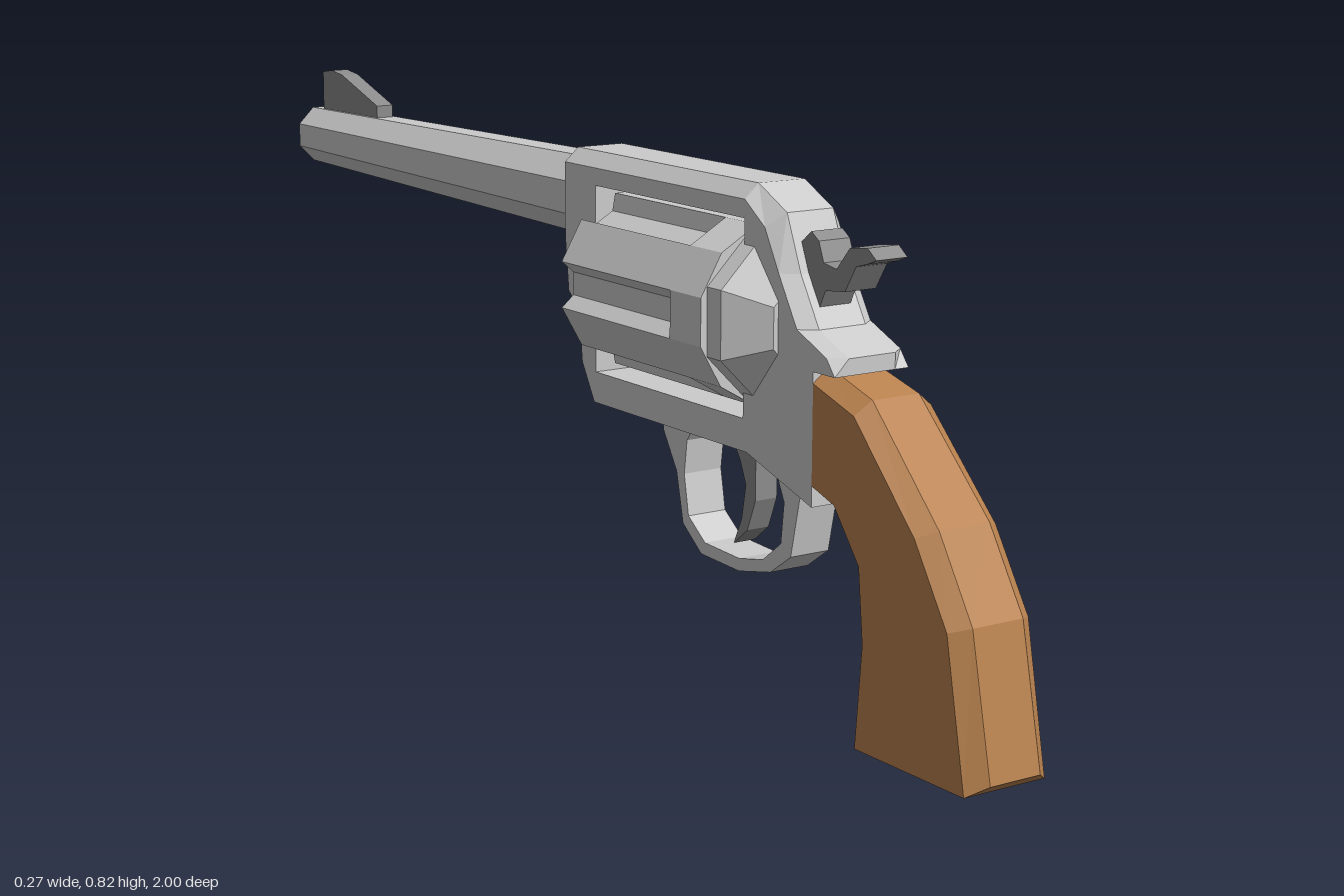
import * as THREE from 'three';

const steel = new THREE.MeshStandardMaterial({ color: 0xcccccc, flatShading: true });
const darkSteel = new THREE.MeshStandardMaterial({ color: 0x8c8c8c, flatShading: true });
const wood = new THREE.MeshStandardMaterial({ color: 0xb9824f, flatShading: true });

const AXIS_Y = 0.58;    // cylinder axis height
const BARREL_Y = 0.70;  // bore height

const toShape = (pts) => new THREE.Shape(pts.map(([a, b]) => new THREE.Vector2(a, b)));
const toPath = (pts) => new THREE.Path(pts.map(([a, b]) => new THREE.Vector2(a, b)));

// Extrudes a side profile of [z, y] points across x, centred on x = 0
function sidePlate(pts, halfWidth, holes = [], steps = 1) {
  const shape = toShape(pts);
  holes.forEach((h) => shape.holes.push(toPath(h)));
  const geo = new THREE.ExtrudeGeometry(shape, { depth: halfWidth * 2, steps, bevelEnabled: false });
  return geo.translate(0, 0, -halfWidth).rotateY(-Math.PI / 2);
}

// Faceted solid of revolution along z from [apothem, z] points, flats facing the axes
function turned(pts, sides, y) {
  const k = 1 / Math.cos(Math.PI / sides);
  const geo = new THREE.LatheGeometry(pts.map(([r, z]) => new THREE.Vector2(r * k, z)), sides, Math.PI / sides);
  return geo.rotateX(Math.PI / 2).translate(0, y, 0);
}

// Frame with a window for the cylinder; top and rear edges are chamfered
function frameGeometry() {
  const outline = [[0.45, 0.78], [0.52, 0.745], [0.555, 0.66], [0.60, 0.585], [0.67, 0.555], [0.67, 0.53],
    [0.62, 0.53], [0.62, 0.33], [0.46, 0.38], [0.045, 0.38], [0.01, 0.44], [0, 0.525], [-0.03, 0.55],
    [-0.04, 0.64], [-0.04, 0.78]];
  const windowHole = [[0.05, 0.43], [0.45, 0.43], [0.45, 0.73], [0.05, 0.73]];
  const geo = sidePlate(outline, 0.067, [windowHole], 3);
  const p = geo.attributes.position;
  for (let i = 0; i < p.count; i++) {
    const x = p.getX(i), y = p.getY(i), z = p.getZ(i);
    if (Math.abs(x) < 0.05) {
      p.setX(i, Math.sign(x) * 0.042);
    } else {
      if (y > 0.74) p.setY(i, y - 0.022);
      if (z > 0.5 && y > 0.54) p.setZ(i, z - 0.02);
    }
  }
  geo.computeVertexNormals();
  return geo;
}

// Fluted front of the cylinder with six open chambers
function flutedGeometry() {
  const pts = [];
  const polar = (deg, r) => [r * Math.cos(deg * Math.PI / 180), r * Math.sin(deg * Math.PI / 180)];
  for (let a = 0; a < 360; a += 60) {
    pts.push(polar(a - 15, 0.142), polar(a - 9, 0.117), polar(a + 9, 0.117), polar(a + 15, 0.142));
  }
  const shape = toShape(pts);
  for (let a = 30; a < 390; a += 60) {
    const [cx, cy] = polar(a, 0.09);
    const ring = [];
    for (let i = 0; i < 8; i++) {
      const [dx, dy] = polar(i * 45 + 22.5, 0.03);
      ring.push([cx + dx, cy + dy]);
    }
    shape.holes.push(toPath(ring));
  }
  return new THREE.ExtrudeGeometry(shape, { depth: 0.30, bevelEnabled: false }).translate(0, AXIS_Y, 0.06);
}

// Grip lofted through eight-sided sections, from butt to frame
function gripGeometry() {
  // back [z, y], front [z, y], half width, drop of the side edges
  const stations = [
    [[1, 0.017], [0.715, 0.017], 0.073, 0.017],
    [[0.955, 0.23], [0.73, 0.15], 0.073, 0],
    [[0.88, 0.35], [0.72, 0.26], 0.073, 0],
    [[0.725, 0.505], [0.67, 0.325], 0.070, 0],
    [[0.62, 0.535], [0.62, 0.34], 0.067, 0],
  ];
  const rings = stations.map(([b, f, w, drop]) => {
    const len = Math.hypot(b[0] - f[0], b[1] - f[1]);
    const at = (d, x) => {
      const t = d / len;
      const side = Math.abs(x) === w;
      return [x, b[1] + (f[1] - b[1]) * t - (side ? drop : 0), b[0] + (f[0] - b[0]) * t];
    };
    const c = 0.022, n = w - 0.028;
    return [at(0, -n), at(0, n), at(c, w), at(len - c, w), at(len, n), at(len, -n), at(len - c, -w), at(c, -w)];
  });
  const pos = [];
  const quad = (a, b, c, d) => [a, b, c, a, c, d].forEach((v) => pos.push(...v));
  for (let s = 0; s < rings.length - 1; s++) {
    const lo = rings[s], hi = rings[s + 1];
    for (let i = 0; i < 8; i++) {
      const j = (i + 1) % 8;
      quad(lo[i], lo[j], hi[j], hi[i]);
    }
  }
  const first = rings[0], last = rings[rings.length - 1];
  [[0, 1, 2, 7], [7, 2, 3, 6], [6, 3, 4, 5]].forEach(([a, b, c, d]) => {
    quad(first[d], first[c], first[b], first[a]);
    quad(last[a], last[b], last[c], last[d]);
  });
  const geo = new THREE.BufferGeometry();
  geo.setAttribute('position', new THREE.Float32BufferAttribute(pos, 3));
  geo.computeVertexNormals();
  return geo;
}

export function createModel() {
  const model = new THREE.Group();
  model.name = 'revolver';
  const add = (name, geo, mat = steel) => {
    const mesh = new THREE.Mesh(geo, mat);
    mesh.name = name;
    model.add(mesh);
  };

  add('frame', frameGeometry());
  add('grip', gripGeometry(), wood);

  // Tapered octagonal barrel with a hollow bore
  add('barrel', turned([[0, -0.55], [0.034, -0.55], [0.034, -1], [0.05, -1], [0.064, -0.03], [0, -0.03]].reverse(), 8, BARREL_Y)
    , new THREE.MeshStandardMaterial({ color: 0xcccccc, flatShading: true, side: THREE.DoubleSide }));

  // Cylinder: fluted front, plain rear band
  add('cylinderFront', flutedGeometry());
  const band = new THREE.CylinderGeometry(0.142, 0.142, 0.08, 12, 1, false, Math.PI / 12);
  add('cylinderRear', band.rotateX(Math.PI / 2).translate(0, AXIS_Y, 0.40));

  // Recoil shield behind the cylinder
  add('recoilShield', turned([[0, 0.43], [0.126, 0.43], [0.126, 0.475], [0.075, 0.535], [0, 0.535]], 8, AXIS_Y),
    new THREE.MeshStandardMaterial({ color: 0xcccccc, flatShading: true, side: THREE.DoubleSide }));

  add('frontSight', sidePlate([[-0.757, 0.74], [-0.757, 0.775], [-0.89, 0.82], [-0.93, 0.825], [-0.965, 0.82],
    [-0.965, 0.74]], 0.016), darkSteel);

  add('hammer', sidePlate([[0.71, 0.70], [0.69, 0.715], [0.65, 0.71], [0.62, 0.675], [0.59, 0.68], [0.578, 0.71],
    [0.56, 0.722], [0.52, 0.69], [0.52, 0.61], [0.58, 0.61], [0.595, 0.64], [0.64, 0.645], [0.665, 0.685],
    [0.69, 0.692]], 0.028), darkSteel);

  // Trigger guard loop, open at the top where it meets the frame
  add('triggerGuard', sidePlate([[0.555, 0.345], [0.53, 0.23], [0.48, 0.195], [0.40, 0.178], [0.30, 0.182],
    [0.25, 0.22], [0.232, 0.30], [0.195, 0.36], [0.195, 0.39], [0.285, 0.39], [0.26, 0.355], [0.253, 0.30],
    [0.265, 0.235], [0.31, 0.202], [0.40, 0.198], [0.46, 0.21], [0.505, 0.245], [0.512, 0.31], [0.49, 0.355],
    [0.46, 0.39], [0.50, 0.39]], 0.035));

  add('trigger', sidePlate([[0.42, 0.39], [0.42, 0.29], [0.40, 0.24], [0.365, 0.212], [0.385, 0.255],
    [0.395, 0.31], [0.38, 0.345], [0.35, 0.39]], 0.02), darkSteel);

  return model;
}
